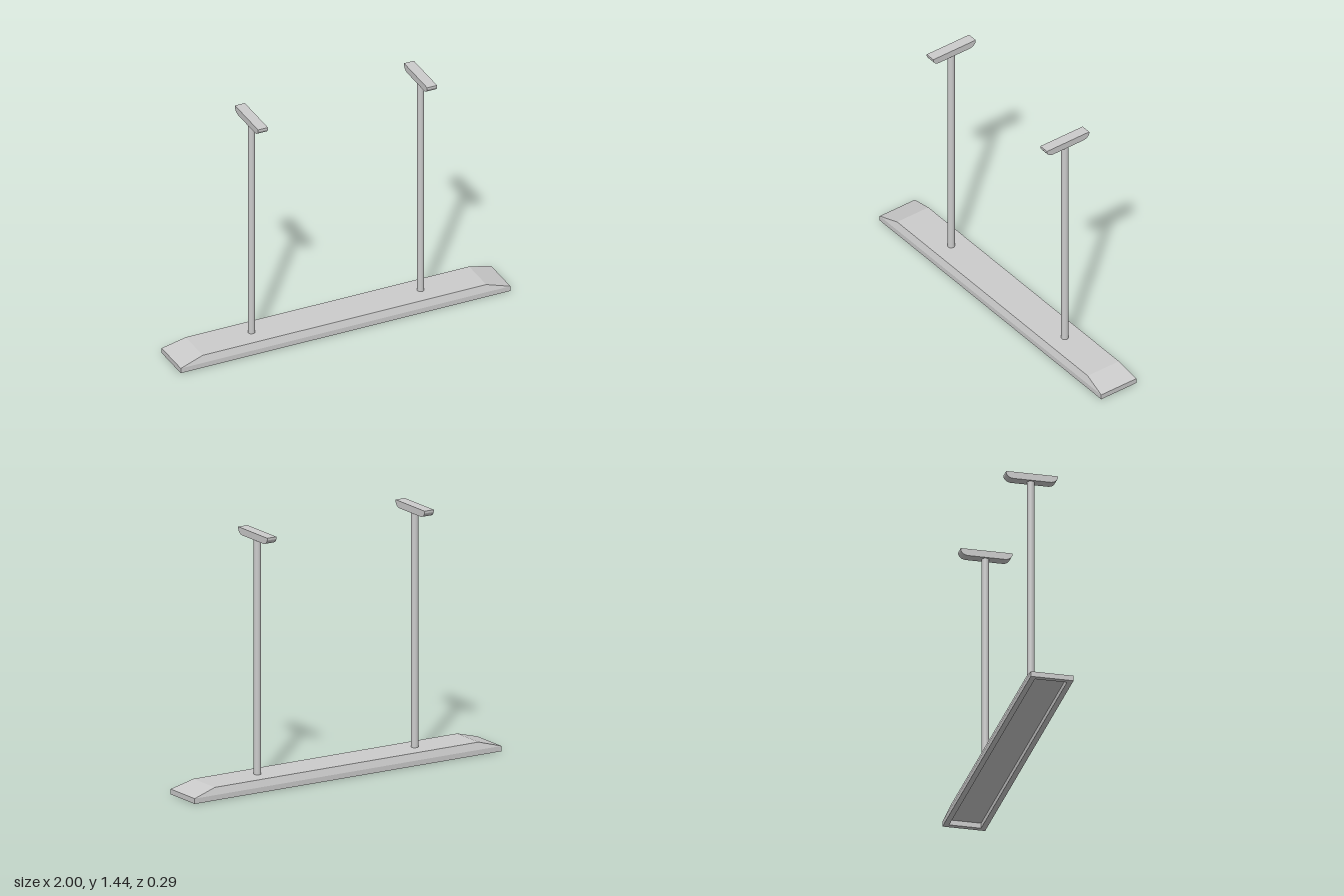
import * as THREE from 'three';

const material = new THREE.MeshStandardMaterial({ color: 0xcccccc });

function addMesh(parent, name, geometry, x = 0, y = 0, z = 0) {
  const mesh = new THREE.Mesh(geometry, material);
  mesh.name = name;
  mesh.position.set(x, y, z);
  parent.add(mesh);
  return mesh;
}

// Skin a stack of rectangles [half length, y, half width], closed at both ends.
function rectangleLoft(sections) {
  const rings = sections.map(([x, y, z]) => [[x, y, z], [x, y, -z], [-x, y, -z], [-x, y, z]]);
  const positions = [];
  const quad = (a, b, c, d) => positions.push(...a, ...b, ...c, ...a, ...c, ...d);
  for (let i = 0; i < rings.length - 1; i++) {
    for (let k = 0; k < 4; k++) {
      const n = (k + 1) % 4;
      quad(rings[i][k], rings[i][n], rings[i + 1][n], rings[i + 1][k]);
    }
  }
  const first = rings[0];
  quad(first[3], first[2], first[1], first[0]);
  quad(...rings[rings.length - 1]);
  const geometry = new THREE.BufferGeometry();
  geometry.setAttribute('position', new THREE.Float32BufferAttribute(positions, 3));
  geometry.computeVertexNormals();
  return geometry;
}

// Ceiling plate: flat on top, rounded lower corners, extruded across x.
function plateGeometry(width) {
  const shape = new THREE.Shape();
  shape.moveTo(-0.145, 0.04);
  shape.lineTo(-0.145, 0.028);
  shape.quadraticCurveTo(-0.135, 0.002, -0.105, 0);
  shape.lineTo(0.105, 0);
  shape.quadraticCurveTo(0.135, 0.002, 0.145, 0.028);
  shape.lineTo(0.145, 0.04);
  shape.closePath();
  const geometry = new THREE.ExtrudeGeometry(shape, { depth: width, bevelEnabled: false, curveSegments: 8 });
  geometry.translate(0, 0, -width / 2);
  geometry.rotateY(Math.PI / 2);
  return geometry;
}

export function createModel() {
  const model = new THREE.Group();
  model.name = 'hangingLamp';

  // Housing: recessed underside, rim, straight side, sloped shoulders, flat top
  addMesh(model, 'lampHousing', rectangleLoft([
    [0.97, 0.03, 0.09],
    [0.97, 0, 0.09],
    [1, 0, 0.12],
    [1, 0.03, 0.12],
    [0.86, 0.07, 0.107],
  ]));

  // Two suspension rods, each with a ceiling plate
  for (const [side, sign] of [['left', 1], ['right', -1]]) {
    const hanger = new THREE.Group();
    hanger.name = side + 'Hanger';
    hanger.position.x = sign * 0.513;
    addMesh(hanger, 'rod', new THREE.CylinderGeometry(0.02, 0.02, 1.34, 24), 0, 0.735, 0);
    addMesh(hanger, 'ceilingPlate', plateGeometry(0.06), 0, 1.4, 0);
    model.add(hanger);
  }
  return model;
}
